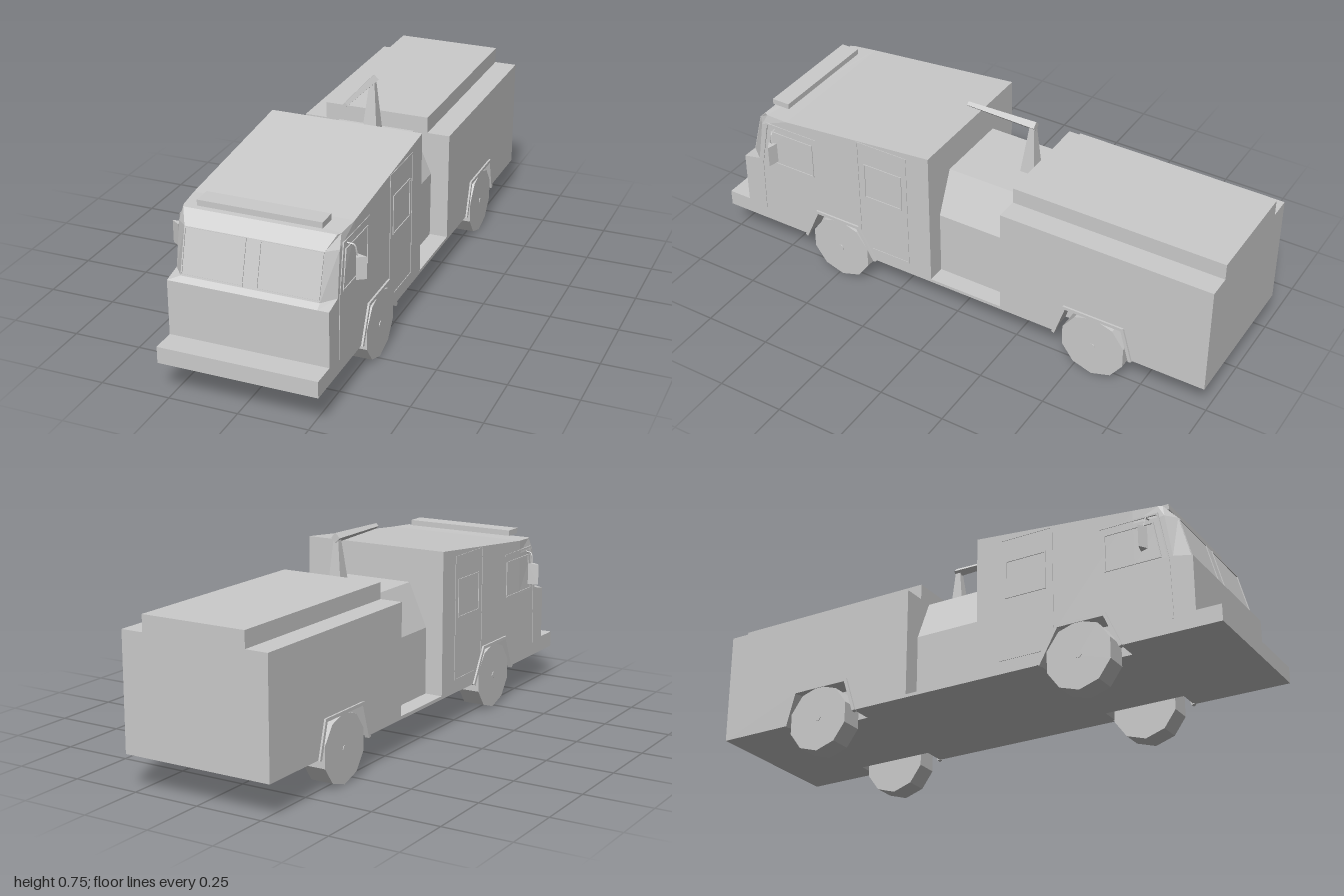
import * as THREE from 'three';

const material = new THREE.MeshStandardMaterial({ color: 0xcccccc, flatShading: true });

function add(parent, name, geometry, x = 0, y = 0, z = 0) {
  const mesh = new THREE.Mesh(geometry, material);
  mesh.name = name;
  mesh.position.set(x, y, z);
  parent.add(mesh);
  return mesh;
}

// box given by its limits
function block(parent, name, [x0, x1], [y0, y1], [z0, z1]) {
  return add(parent, name, new THREE.BoxGeometry(x1 - x0, y1 - y0, z1 - z0),
    (x0 + x1) / 2, (y0 + y1) / 2, (z0 + z1) / 2);
}

const toShape = (pts) => new THREE.Shape(pts.map(([a, b]) => new THREE.Vector2(a, b)));
const extrude = (shape, depth) => new THREE.ExtrudeGeometry(shape, { depth, bevelEnabled: false });

// side profile of [z, y] points, extruded from x0 to x1
function sidePrism(parent, name, pts, x0, x1) {
  const g = extrude(toShape(pts.map(([z, y]) => [-z, y])), x1 - x0).rotateY(Math.PI / 2);
  return add(parent, name, g, x0);
}

// polygon ring of width t
function ringShape(pts, t) {
  const mid = [0, 1].map((k) => pts.reduce((s, p) => s + p[k], 0) / pts.length);
  const half = [0, 1].map((k) => Math.max(...pts.map((p) => Math.abs(p[k] - mid[k]))));
  const shape = toShape(pts);
  shape.holes.push(toShape(pts.map((p) => p.map((v, k) => mid[k] + (v - mid[k]) * (1 - t / half[k])))));
  return shape;
}

// thin strip following a path of [z, y] points on a body side
function sideStrip(parent, name, path, side, width, x0, x1) {
  const group = new THREE.Group();
  group.name = name;
  for (let i = 0; i + 1 < path.length; i++) {
    const [z0, y0] = path[i], [z1, y1] = path[i + 1];
    const length = Math.hypot(z1 - z0, y1 - y0);
    const bar = add(group, name + 'Bar', new THREE.BoxGeometry(x1 - x0, width, length + width * 0.6),
      side * (x0 + x1) / 2, (y0 + y1) / 2, (z0 + z1) / 2);
    bar.rotation.x = -Math.atan2(y1 - y0, z1 - z0);
  }
  parent.add(group);
}

// solid through stacked loops of [x, y, z] points
function loft(loops) {
  const pos = [];
  const n = loops[0].length;
  const tri = (...p) => p.forEach((v) => pos.push(...v));
  for (let k = 0; k + 1 < loops.length; k++) {
    for (let i = 0; i < n; i++) {
      const j = (i + 1) % n;
      tri(loops[k][i], loops[k][j], loops[k + 1][j]);
      tri(loops[k][i], loops[k + 1][j], loops[k + 1][i]);
    }
  }
  const low = loops[0], top = loops[loops.length - 1];
  for (let i = 1; i + 1 < n; i++) {
    tri(top[0], top[i], top[i + 1]);
    tri(low[0], low[i + 1], low[i]);
  }
  const g = new THREE.BufferGeometry();
  g.setAttribute('position', new THREE.Float32BufferAttribute(pos, 3));
  g.computeVertexNormals();
  return g;
}

export function createModel() {
  const truck = new THREE.Group();
  truck.name = 'fireTruck';
  const W = 0.285, IN = 0.2, BASE = 0.125;
  const frontArch = [[0.64, BASE], [0.585, 0.25], [0.405, 0.25], [0.335, BASE]];
  const rearArch = [[-0.42, BASE], [-0.46, 0.25], [-0.685, 0.25], [-0.72, BASE]];

  // cab nose: [y, side corner x, side corner z, front corner x, front corner z, rear y]
  const levels = [
    [BASE, W, 0.91, 0.245, 0.91, BASE],
    [0.385, W, 0.91, 0.245, 0.91, 0.385],
    [0.4, W, 0.84, 0.245, 0.89, 0.4],
    [0.56, 0.282, 0.815, 0.245, 0.848, 0.56],
    [0.605, 0.277, 0.79, 0.27, 0.805, 0.61],
  ];
  add(truck, 'cabNose', loft(levels.map(([y, sx, sz, fx, fz, ry]) => [
    [-W, ry, 0.7], [-sx, y, sz], [-fx, y, fz], [fx, y, fz], [sx, y, sz], [W, ry, 0.7],
  ])));
  block(truck, 'bumper', [-W, W], [BASE, 0.185], [0.9, 1]);
  block(truck, 'lightBar', [-0.22, 0.22], [0.617, 0.638], [0.735, 0.805]);

  // crew cab and rear body: solid core, with arches cut into the outer slabs
  const cabTop = [[0.09, BASE], [0.09, 0.67], [0.7, 0.61], [0.7, BASE]];
  sidePrism(truck, 'cabCore', cabTop, -IN, IN);
  block(truck, 'rearBodyCore', [-IN, IN], [BASE, 0.605], [-1, -0.2]);
  const rearSide = [[-1, BASE], [-1, 0.545], [-0.2, 0.545], [-0.2, BASE]];
  for (const x0 of [-W, IN]) {
    sidePrism(truck, 'cabSide', [...cabTop, ...frontArch], x0, x0 + W - IN);
    sidePrism(truck, 'rearBodySide', [...rearSide, ...rearArch], x0, x0 + W - IN);
  }

  // narrow pump section between cab and body
  block(truck, 'pumpDeck', [-W, W], [BASE, 0.137], [-0.2, 0.09]);
  const pump = toShape([[-0.217, BASE], [0.217, BASE], [0.217, 0.385], [0.147, 0.545], [-0.147, 0.545], [-0.217, 0.385]]);
  add(truck, 'pumpHousing', extrude(pump, 0.29), 0, 0, -0.2);

  // water cannon on a tapered post
  const ring = (r, cz, y) => [[-r, y, cz - r], [-r, y, cz + r], [r, y, cz + r], [r, y, cz - r]];
  add(truck, 'cannonPost', loft([ring(0.028, -0.157, 0.545), ring(0.009, -0.163, 0.735)]));
  const barrel = add(truck, 'cannonBarrel', new THREE.CylinderGeometry(0.01, 0.018, 0.275, 4), 0, 0.735, -0.037);
  barrel.rotation.x = Math.PI / 2;

  // windscreen frames lying on the sloped glass
  for (const s of [-1, 1]) {
    const pts = [[-0.11, -0.08], [0.11, -0.08], [0.11, 0.08], [-0.11, 0.08]];
    const frame = add(truck, 'windscreenFrame', extrude(ringShape(pts, 0.004), 0.005), s * 0.134, 0.48, 0.867);
    frame.rotation.x = -Math.atan2(0.042, 0.16);
  }

  for (const s of [-1, 1]) {
    // door outlines and window frames
    sideStrip(truck, 'frontDoorTrim', [[0.83, 0.175], [0.825, 0.39], [0.79, 0.572], [0.575, 0.572]], s, 0.006, 0.275, 0.287);
    sideStrip(truck, 'crewDoorTrim', [[0.34, 0.175], [0.185, 0.175], [0.185, 0.635], [0.39, 0.635], [0.39, 0.24]], s, 0.005, 0.28, 0.287);
    const windows = [
      [[0.8, 0.405], [0.59, 0.405], [0.59, 0.545], [0.775, 0.545]],
      [[0.365, 0.405], [0.205, 0.405], [0.205, 0.55], [0.365, 0.55]],
    ];
    for (const pts of windows) {
      const g = extrude(ringShape(pts.map(([z, y]) => [-z, y]), 0.005), 0.008).rotateY(Math.PI / 2);
      add(truck, 'sideWindowFrame', g, s * 0.284 - 0.004);
    }

    // mirror and its arm
    const plan = toShape([[s * 0.305, -0.735], [s * 0.345, -0.745], [s * 0.315, -0.765]]);
    add(truck, 'mirror', extrude(plan, 0.08).rotateX(-Math.PI / 2), 0, 0.435, 0);
    const arm = new THREE.CurvePath();
    const bend = new THREE.Vector3(s * 0.309, 0.555, 0.755);
    arm.add(new THREE.LineCurve3(new THREE.Vector3(s * 0.275, 0.56, 0.76), bend));
    arm.add(new THREE.LineCurve3(bend, new THREE.Vector3(s * 0.315, 0.51, 0.75)));
    add(truck, 'mirrorArm', new THREE.TubeGeometry(arm, 8, 0.003, 4));

    // wheels, hubs and arch flares
    for (const [z, arch] of [[0.485, frontArch], [-0.575, rearArch]]) {
      const wheel = add(truck, 'wheel', new THREE.CylinderGeometry(0.125, 0.125, 0.083, 10), s * 0.248, 0.125, z);
      wheel.rotation.set(0, 0, Math.PI / 2);
      wheel.geometry.rotateY(Math.PI / 2);
      const hub = add(truck, 'hub', new THREE.CylinderGeometry(0.012, 0.012, 0.004, 8), s * 0.29, 0.125, z);
      hub.rotation.z = Math.PI / 2;
      sideStrip(truck, 'archFlare', arch, s, 0.012, 0.275, 0.292);
    }
  }
  return truck;
}
